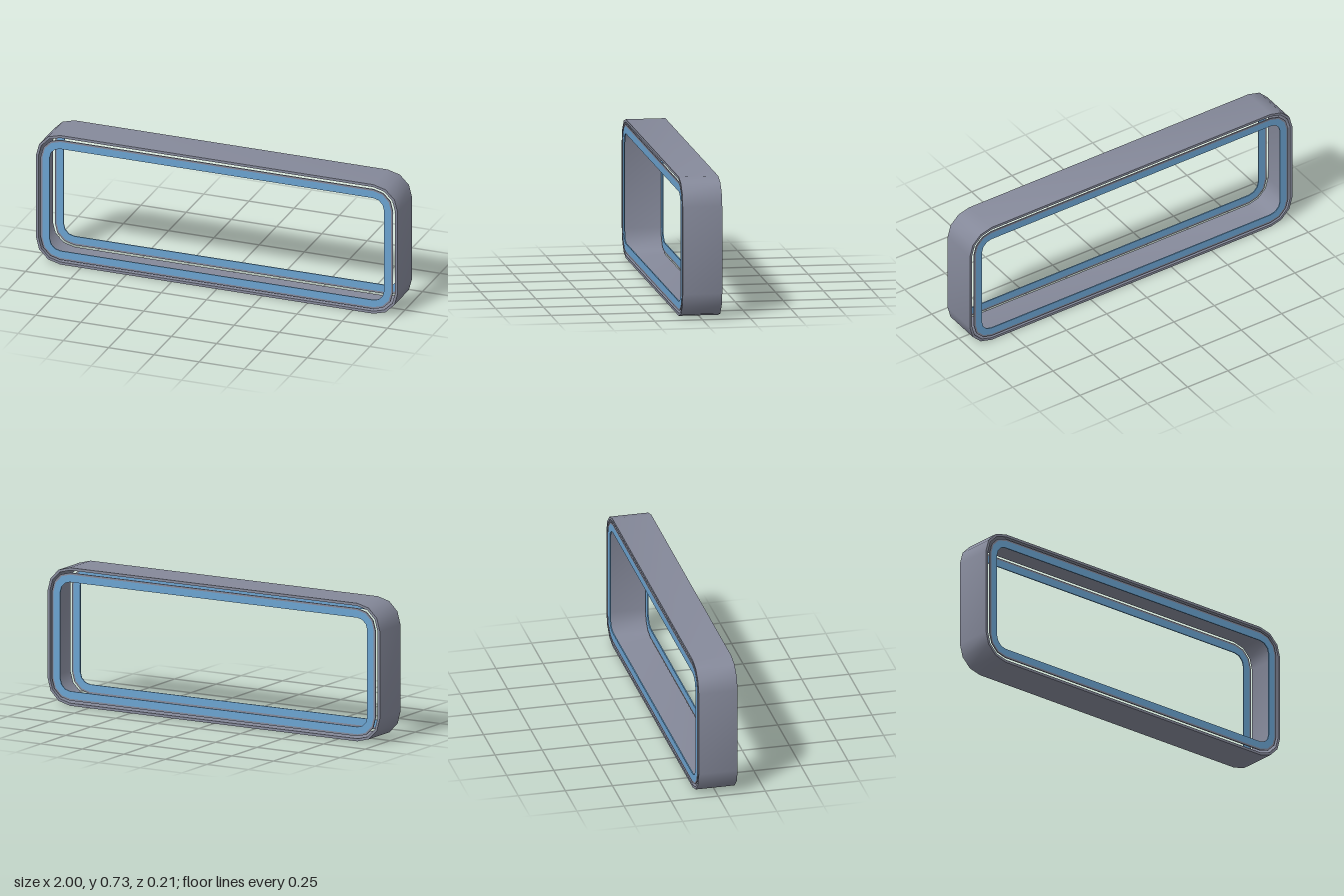
import * as THREE from 'three';
import { toCreasedNormals } from 'three/addons/utils/BufferGeometryUtils.js';

const HALF_W = 1, HALF_H = 0.3635, RADIUS = 0.135, HALF_D = 0.103;

// Rounded rectangle set in from the outer edge, three facets per corner
function outline(inset) {
  const r = RADIUS - inset, points = [];
  const cx = HALF_W - RADIUS, cy = HALF_H - RADIUS;
  [[1, 1], [-1, 1], [-1, -1], [1, -1]].forEach(([sx, sy], corner) => {
    for (let i = 0; i <= 3; i++) {
      const a = (corner + i / 3) * Math.PI / 2;
      points.push(new THREE.Vector2(sx * cx + r * Math.cos(a), sy * cy + r * Math.sin(a)));
    }
  });
  return points;
}

// Closed ring between two insets, from z to z + depth
function ring(name, outer, inner, z, depth, material) {
  const shape = new THREE.Shape(outline(outer));
  shape.holes.push(new THREE.Path(outline(inner)));
  const extruded = new THREE.ExtrudeGeometry(shape, { depth, bevelEnabled: false });
  const mesh = new THREE.Mesh(toCreasedNormals(extruded, 0.8), material);
  mesh.position.set(0, HALF_H, z);
  mesh.name = name;
  return mesh;
}

export function createModel() {
  const grey = new THREE.MeshStandardMaterial({ name: 'grey metal', color: 0x85899a });
  const blue = new THREE.MeshStandardMaterial({ name: 'blue trim', color: 0x6ba3d0 });

  const model = new THREE.Group();
  model.name = 'roundedFrame';

  // Deep outer band
  model.add(ring('outerBand', 0, 0.014, -HALF_D, HALF_D * 2, grey));

  // Thin trim rings, flush with the front and back of the band
  const depth = 0.006;
  for (const [side, z] of [['front', HALF_D - depth], ['back', -HALF_D]]) {
    const trim = new THREE.Group();
    trim.name = side + 'Trim';
    trim.add(ring('trimRim', 0.027, 0.037, z, depth, grey));
    trim.add(ring('trimFace', 0.037, 0.076, z, depth, blue));
    model.add(trim);
  }
  return model;
}
